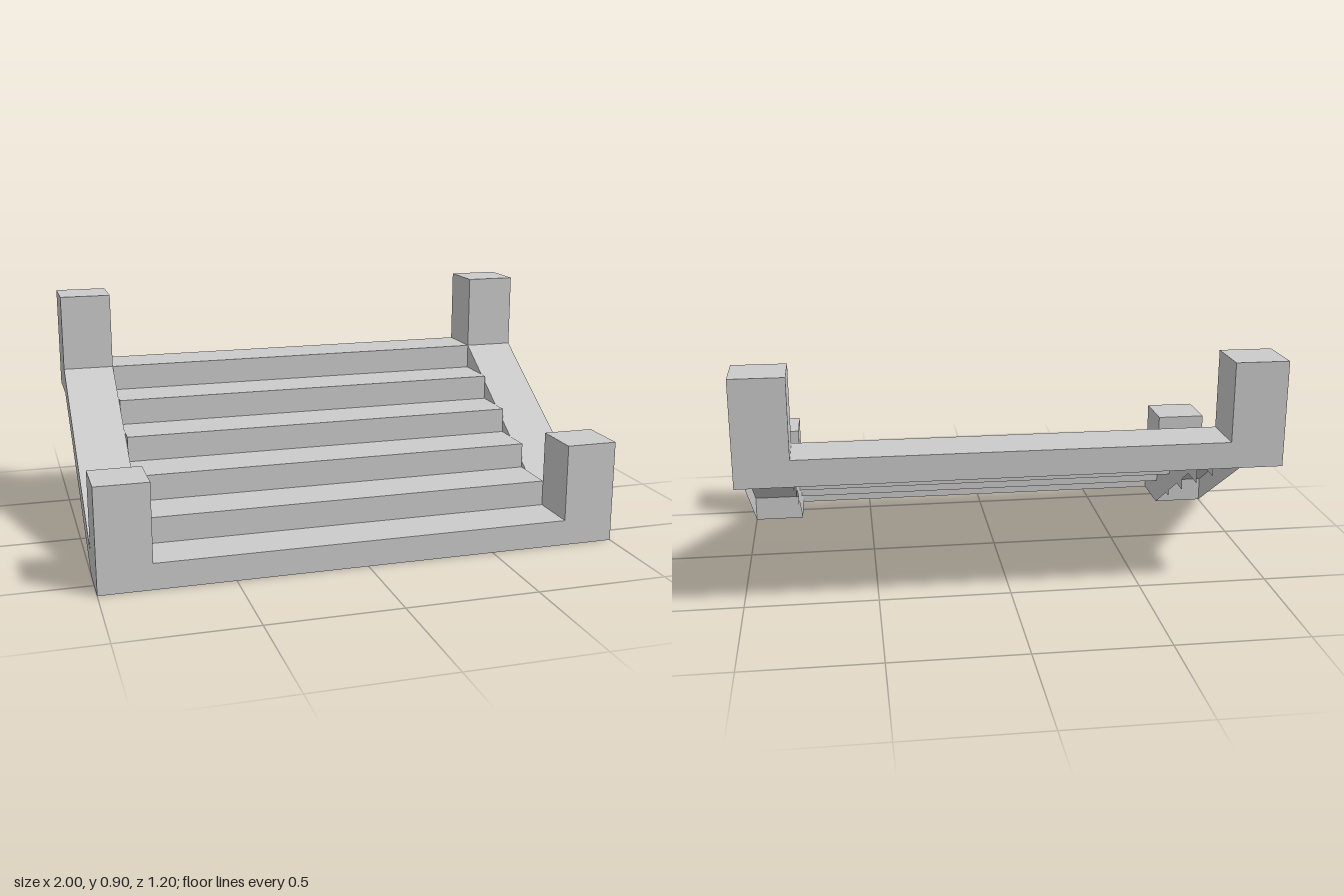
import * as THREE from 'three';

const material = new THREE.MeshStandardMaterial({ color: 0xcccccc, flatShading: true, side: THREE.DoubleSide });

function add(parent, name, geometry) {
  const mesh = new THREE.Mesh(geometry, material);
  mesh.name = name;
  parent.add(mesh);
  return mesh;
}

// Sheet that carries a [z, y] profile across from x0 to x1
function sheet(profile, x0, x1) {
  const positions = [];
  for (let i = 0; i < profile.length - 1; i++) {
    const [z0, y0] = profile[i];
    const [z1, y1] = profile[i + 1];
    positions.push(x0, y0, z0, x1, y0, z0, x1, y1, z1, x0, y0, z0, x1, y1, z1, x0, y1, z1);
  }
  const geometry = new THREE.BufferGeometry();
  geometry.setAttribute('position', new THREE.Float32BufferAttribute(positions, 3));
  geometry.computeVertexNormals();
  return geometry;
}

// Flat upright panel at x, outlined by [z, y] corners
function panel(corners, x) {
  const shape = new THREE.Shape(corners.map(([z, y]) => new THREE.Vector2(-z, y)));
  return new THREE.ShapeGeometry(shape).rotateY(Math.PI / 2).translate(x, 0, 0);
}

// Box with its underside left open
function openBox(width, height, depth) {
  const geometry = new THREE.BoxGeometry(width, height, depth);
  const index = Array.from(geometry.index.array);
  index.splice(18, 6);
  geometry.setIndex(index);
  geometry.clearGroups();
  return geometry;
}

export function createModel() {
  const model = new THREE.Group();
  model.name = 'staircase';
  const rise = 0.1, run = 0.2, inner = 0.8, outer = 1;

  // Landings, treads and risers as one folded sheet
  const profile = [[0.6, 0]];
  for (let i = 0; i < 6; i++) {
    const z = 0.6 - i * run, y = (i + 1) * rise;
    profile.push([z, y], [z - run, y]);
  }
  profile.push([-0.6, 0.5]);
  add(model, 'steps', sheet(profile, -inner, inner));

  for (const side of [-1, 1]) {
    const label = side > 0 ? 'left' : 'right';

    // End caps of the four steps between the landings
    for (let i = 0; i < 4; i++) {
      const z = 0.4 - i * run, y = (i + 1) * rise;
      add(model, label + 'StepEnd', panel([[z, y], [z - run, y], [z - run, y + rise], [z, y + rise]], side * inner));
    }

    // Sloping side rail, open underneath
    const rail = new THREE.Group();
    rail.name = label + 'Rail';
    model.add(rail);
    const x0 = Math.min(side * inner, side * outer);
    add(rail, 'railTop', sheet([[0.4, 0.1], [-0.4, 0.6]], x0, x0 + outer - inner));
    for (const x of [inner, outer]) {
      add(rail, 'railSide', panel([[0.4, 0], [-0.4, 0.5], [-0.4, 0.6], [0.4, 0.1]], side * x));
    }

    // Corner posts
    add(model, label + 'FrontPost', openBox(0.2, 0.4, 0.2)).position.set(side * 0.9, 0.2, 0.5);
    add(model, label + 'BackPost', openBox(0.2, 0.4, 0.2)).position.set(side * 0.9, 0.7, -0.5);
  }
  return model;
}
